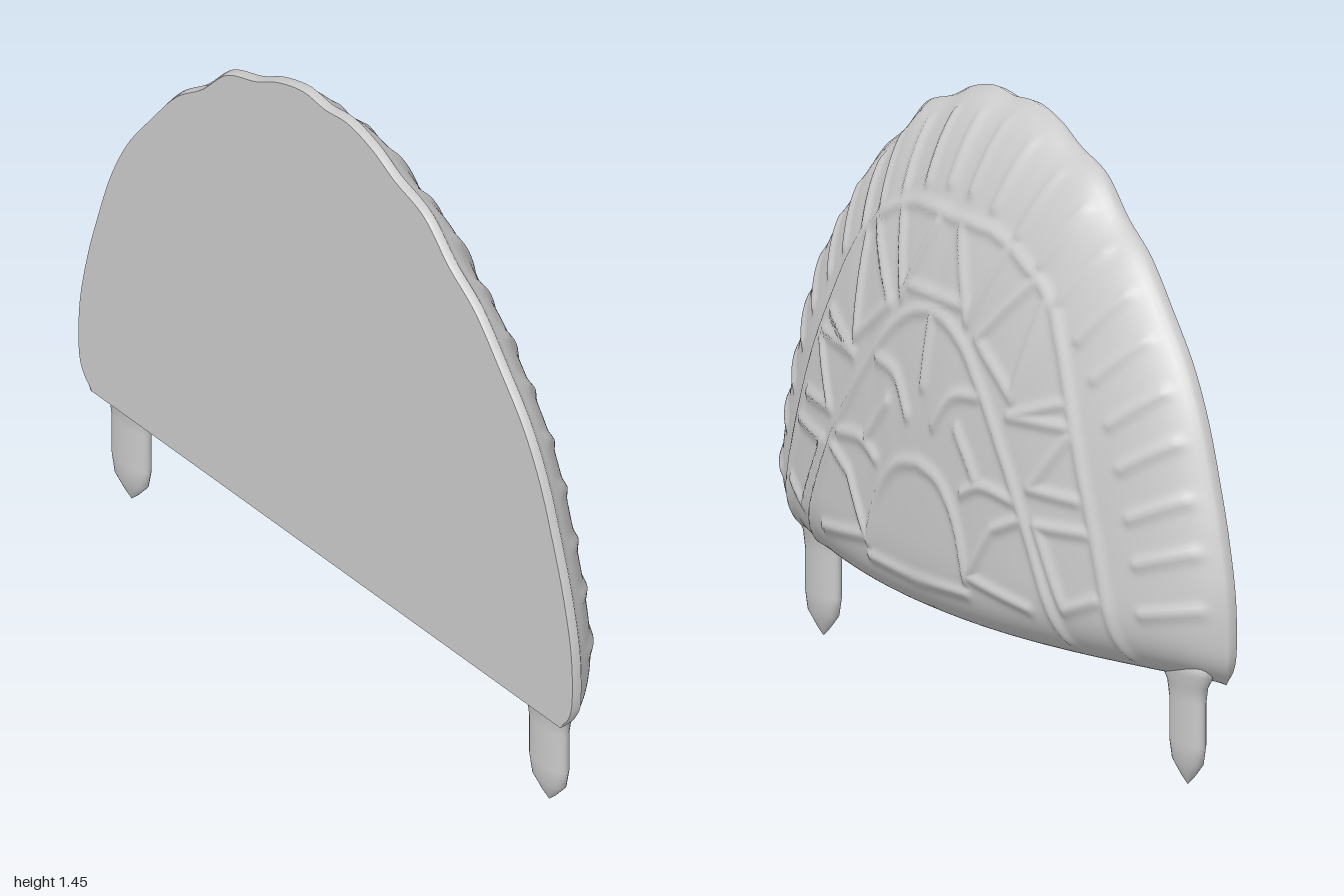
import * as THREE from 'three';

const BACK = -0.145, BASE = 0.25, DEPTH = 0.282;
const RAYS = 300, STEPS = 120;
const v2 = (p) => new THREE.Vector2(p[0], p[1]);

// Half of the scalloped outline as (z, y), from the lower corner to the crown
const half = [[0.945, 0.25], [0.985, 0.29], [1, 0.35], [0.995, 0.47], [0.965, 0.6], [0.925, 0.72],
  [0.87, 0.86], [0.80, 0.98], [0.705, 1.09], [0.605, 1.195], [0.5, 1.265], [0.40, 1.35],
  [0.28, 1.39], [0.19, 1.43], [0.09, 1.453], [0, 1.447]];
const outline = new THREE.SplineCurve([
  ...half, ...half.slice(0, -1).reverse().map(([z, y]) => [-z, y])].map(v2)).getSpacedPoints(RAYS);

// Raised lines of the pattern for z >= 0; they are mirrored when measured
const smooth = (pts) => new THREE.SplineCurve(pts.map(v2)).getPoints(14);
const lines = [
  smooth([[0, 1.18], [0.2, 1.175], [0.42, 1.07], [0.55, 0.86], [0.66, 0.62], [0.73, 0.42], [0.76, 0.29]]),
  smooth([[0, 0.965], [0.1, 0.94], [0.22, 0.85], [0.4, 0.63], [0.52, 0.43], [0.58, 0.3]]),
  smooth([[0, 0.61], [0.1, 0.585], [0.18, 0.5], [0.225, 0.38]]),
  smooth([[0.2, 0.58], [0.28, 0.61], [0.4, 0.6]]),
  smooth([[0.06, 0.71], [0.13, 0.79], [0.23, 0.81]]),
  ...[
    [[0, 0.335], [0.22, 0.345]],
    [[0, 0.95], [0, 0.79]],
    [[0.05, 1.16], [0.15, 0.97], [0.24, 1.15]],
    [[0, 1.0], [0.13, 1.0]],
    [[0.41, 1.07], [0.36, 0.83], [0.2, 0.94], [0.36, 1.1]],
    [[0.56, 0.8], [0.36, 0.79], [0.53, 0.85]],
    [[0.57, 0.78], [0.46, 0.64], [0.62, 0.64]],
    [[0.66, 0.57], [0.49, 0.56], [0.6, 0.38], [0.7, 0.42]],
    [[0.23, 0.39], [0.47, 0.36]],
    [[0.24, 0.4], [0.33, 0.52], [0.43, 0.56]],
    [[0.16, 0.72], [0.25, 0.62]],
  ].map((l) => l.map(v2)),
];
// Short straps across the outer border
for (let k = 0; k < 12; k++) {
  const p = outline[Math.round(RAYS * (0.06 + k * 0.0385))];
  lines.push([0.83, 0.955].map((t) => new THREE.Vector2(p.x * t, BASE + (p.y - BASE) * t)));
}
const segments = lines.flatMap((l) => l.slice(1).map((b, i) => [l[i], b]));

function ridge(z, y) {
  let best = 1;
  for (const [a, b] of segments) {
    const dx = b.x - a.x, dy = b.y - a.y, px = Math.abs(z) - a.x, py = y - a.y;
    const t = THREE.MathUtils.clamp((px * dx + py * dy) / (dx * dx + dy * dy), 0, 1);
    best = Math.min(best, (px - t * dx) ** 2 + (py - t * dy) ** 2);
  }
  return 0.009 * Math.exp(-best / 0.00022);
}

// Domed front: t runs from the base centre to the rim
function frontX(t, z, y) {
  const dome = Math.pow(Math.max(0, 1 - Math.pow(t, 2.6)), 0.62);
  const s = THREE.MathUtils.clamp((y - BASE) / 0.2, 0, 1);
  const floor = 0.67 * Math.max(0, 1 - (z / 0.9) ** 2);
  const round = floor + (1 - floor) * Math.sqrt(1 - (1 - s) ** 3);
  const fade = Math.min(1, (1 - t) * 25) * Math.min(1, s * 5);
  return BACK + Math.max(DEPTH * dome * round, 0.02 * Math.min(1, s * 3)) + ridge(z, y) * fade;
}

function makeGeometry(positions, index) {
  const g = new THREE.BufferGeometry();
  g.setAttribute('position', new THREE.Float32BufferAttribute(positions, 3));
  g.setIndex(index);
  g.computeVertexNormals();
  return g;
}

export function createModel() {
  const group = new THREE.Group();
  const material = new THREE.MeshStandardMaterial({ color: 0xcccccc, side: THREE.DoubleSide });
  const add = (name, geometry) => {
    const mesh = new THREE.Mesh(geometry, material);
    mesh.name = name;
    group.add(mesh);
    return mesh;
  };

  // Patterned shell, with one last row turning in to the flat back
  const pos = [], index = [], row = STEPS + 2;
  outline.forEach((p, i) => {
    for (let j = 0; j < row; j++) {
      const t = j > STEPS ? 0.993 : j / STEPS;
      const z = p.x * t, y = BASE + (p.y - BASE) * t;
      pos.push(j > STEPS ? BACK : frontX(t, z, y), y, z);
      if (i < RAYS && j < row - 1) {
        const a = i * row + j, b = a + row;
        index.push(a, b + 1, a + 1);
        if (j > 0) index.push(a, b, b + 1);
      }
    }
  });
  add('shell', makeGeometry(pos, index));

  // Flat back
  const backPos = [BACK, BASE, 0], backIndex = [];
  outline.forEach((p, i) => {
    backPos.push(BACK, BASE + (p.y - BASE) * 0.993, p.x * 0.993);
    if (i < RAYS) backIndex.push(0, i + 1, i + 2);
  });
  add('backPanel', makeGeometry(backPos, backIndex));

  // Flat underside between the shell's lower edge and the back
  const basePos = [], baseIndex = [];
  for (let k = 0; k <= 2 * STEPS; k++) {
    const ray = k <= STEPS ? 0 : RAYS, o = (ray * row + Math.abs(STEPS - k)) * 3;
    basePos.push(pos[o], pos[o + 1], pos[o + 2], BACK, BASE, pos[o + 2]);
    const a = k * 2;
    if (k < 2 * STEPS) baseIndex.push(a, a + 1, a + 2, a + 1, a + 3, a + 2);
  }
  add('underside', makeGeometry(basePos, baseIndex));

  // Flattened pegs with pointed tips that flare into the shell
  const profile = [[0, 0], [0.025, 0.02], [0.06, 0.055], [0.07, 0.1], [0.07, 0.2], [0.078, 0.24],
    [0.1, 0.268], [0.1, 0.3], [0, 0.34]].map(v2);
  for (const side of [1, -1]) {
    const leg = add(side > 0 ? 'frontLeg' : 'backLeg', new THREE.LatheGeometry(profile, 28));
    leg.scale.x = 0.4;
    leg.position.set(-0.103, 0, 0.84 * side);
  }
  return group;
}
